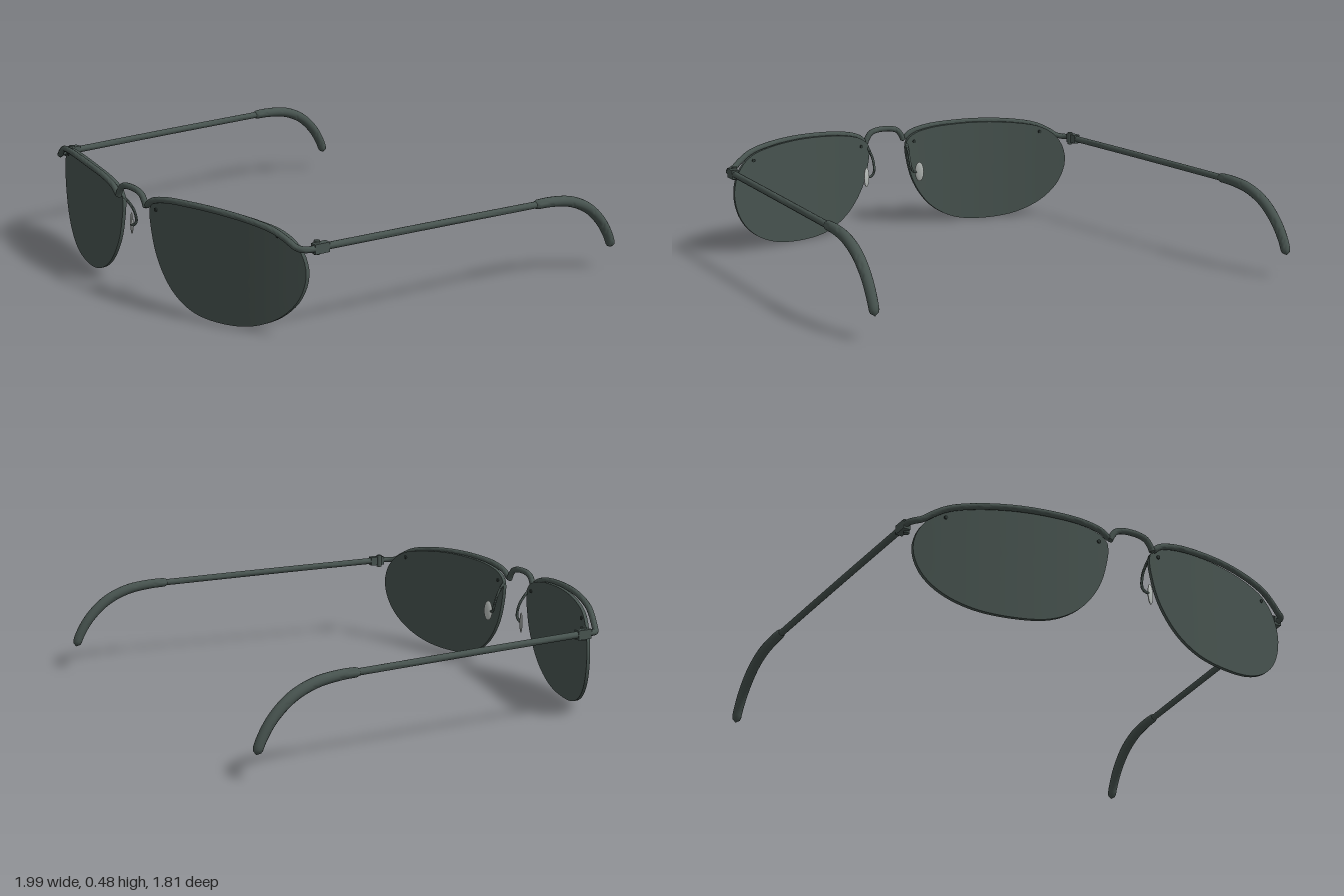
import * as THREE from 'three';
import { toCreasedNormals } from 'three/addons/utils/BufferGeometryUtils.js';
import { ParametricGeometry } from 'three/addons/geometries/ParametricGeometry.js';

const frameMat = new THREE.MeshStandardMaterial({ color: 0x47534f });
frameMat.name = 'frame grey green';
const lensMat = new THREE.MeshStandardMaterial({ color: 0x47534f });
lensMat.name = 'tinted lens';
const padMat = new THREE.MeshStandardMaterial({ color: 0xb8bdba });
padMat.name = 'pale nose pad';
const screwMat = new THREE.MeshStandardMaterial({ color: 0x2c3532 });
screwMat.name = 'dark screw';

// Wrap-around curve shared by the lenses and the brow bar
const lensZ = (x) => 0.873 - 0.265 * x * x;
const barZ = (x) => 0.891 - 0.255 * x * x;

const curve = (pts, s = 1, closed = false) =>
  new THREE.CatmullRomCurve3(pts.map(([x, y, z]) => new THREE.Vector3(x * s, y, z)), closed, 'centripetal');

function add(group, name, geometry, material) {
  const mesh = new THREE.Mesh(geometry, material);
  mesh.name = name;
  group.add(mesh);
  return mesh;
}

// Round tube whose radius follows radius(t); zero at an end closes it
function sweep(path, radius, rings, sides = 12) {
  const geo = new THREE.TubeGeometry(path, rings, 1, sides, false);
  const pos = geo.attributes.position;
  const v = new THREE.Vector3();
  for (let i = 0; i <= rings; i++) {
    const p = path.getPointAt(i / rings);
    for (let j = 0; j <= sides; j++) {
      const k = i * (sides + 1) + j;
      v.fromBufferAttribute(pos, k).sub(p).multiplyScalar(radius(i / rings)).add(p);
      pos.setXYZ(k, v.x, v.y, v.z);
    }
  }
  return toCreasedNormals(geo, 1);
}

// Constant radius with rounded ends
const rounded = (r, cap = 0.03) => (t) => {
  const e = Math.min(t, 1 - t, cap) / cap;
  return r * Math.sqrt(Math.max(0, 1 - (1 - e) ** 2));
};

const outline = curve([
  [0.1, 0.4, 0], [0.14, 0.436, 0], [0.22, 0.458, 0], [0.35, 0.47, 0], [0.5, 0.472, 0],
  [0.65, 0.46, 0], [0.75, 0.44, 0], [0.81, 0.405, 0], [0.85, 0.35, 0], [0.865, 0.27, 0],
  [0.835, 0.17, 0], [0.76, 0.085, 0], [0.64, 0.025, 0], [0.48, 0.004, 0], [0.34, 0.02, 0],
  [0.23, 0.08, 0], [0.15, 0.18, 0], [0.112, 0.28, 0],
], 1, true);

// Curved lens: front face, thin rim and back face in one surface
function lensGeometry(s) {
  const steps = 8;
  const rows = steps * 2 + 1;
  const p = new THREE.Vector3();
  const geo = new ParametricGeometry((u, v, target) => {
    const row = Math.round(v * rows);
    const front = row <= steps;
    const r = (front ? row : rows - row) / steps;
    const w = THREE.MathUtils.clamp(s > 0 ? u : 1 - u, 0, 1);
    outline.getPointAt(w % 1, p);
    const x = 0.48 + (p.x - 0.48) * r;
    target.set(x * s, 0.26 + (p.y - 0.26) * r, lensZ(x) - (front ? 0 : 0.016));
  }, 80, rows);
  return toCreasedNormals(geo, 0.7);
}

function buildSide(s, name) {
  const side = new THREE.Group();
  side.name = name;

  add(side, 'lens', lensGeometry(s), lensMat);

  // Brow bar along the top of the lens, turning back into the hinge
  const brow = [
    [0.1, 0.405], [0.135, 0.437], [0.22, 0.461], [0.35, 0.472], [0.5, 0.474], [0.65, 0.463],
    [0.75, 0.443], [0.81, 0.413], [0.845, 0.39],
  ].map(([x, y]) => [x, y, barZ(x)]);
  brow.push([0.872, 0.384, 0.692], [0.885, 0.384, 0.67], [0.886, 0.384, 0.62]);
  add(side, 'browBar', sweep(curve(brow, s), rounded(0.013, 0.02), 80), frameMat);

  // Screws holding the lens to the bar
  for (const [x, y] of [[0.75, 0.415], [0.14, 0.4]]) {
    const screw = add(side, 'lensScrew', new THREE.CylinderGeometry(0.008, 0.008, 0.026, 10), screwMat);
    screw.rotation.x = Math.PI / 2;
    screw.position.set(x * s, y, lensZ(x) - 0.008);
  }

  // Hinge block with its barrel
  const hinge = new THREE.Group();
  hinge.name = 'hinge';
  hinge.position.set(0.886 * s, 0.383, 0.622);
  hinge.rotation.y = -0.07 * s;
  add(hinge, 'hingeBlock', new THREE.BoxGeometry(0.03, 0.04, 0.066), frameMat);
  const barrel = add(hinge, 'hingeBarrel', new THREE.CylinderGeometry(0.012, 0.012, 0.056, 12), frameMat);
  barrel.position.set(-0.01 * s, 0, 0.01);
  side.add(hinge);

  // Temple arm
  const arm = curve([[0.887, 0.384, 0.61], [0.92, 0.376, 0.1], [0.956, 0.365, -0.48]], s);
  add(side, 'templeArm', sweep(arm, () => 0.0145, 16), frameMat);

  // Thicker ear tip curving down
  const tip = curve([
    [0.954, 0.366, -0.44], [0.958, 0.364, -0.53], [0.964, 0.348, -0.64], [0.969, 0.305, -0.74],
    [0.973, 0.235, -0.82], [0.976, 0.16, -0.87], [0.977, 0.103, -0.893],
  ], s);
  const tipRadius = (t) => rounded(1, 0.05)(t) * (0.02 + 0.003 * Math.sin(Math.PI * t));
  add(side, 'earTip', sweep(tip, tipRadius, 48, 14), frameMat);

  // Nose pad on its bent wire
  const wire = curve([
    [0.104, 0.4, 0.87], [0.1, 0.375, 0.845], [0.095, 0.33, 0.818], [0.1, 0.28, 0.806],
    [0.115, 0.262, 0.81], [0.136, 0.262, 0.808],
  ], s);
  add(side, 'padWire', sweep(wire, rounded(0.006), 30, 8), frameMat);
  const pad = add(side, 'nosePad', new THREE.SphereGeometry(1, 18, 12), padMat);
  pad.scale.set(0.021, 0.046, 0.007);
  pad.position.set(0.14 * s, 0.262, 0.802);
  pad.rotation.y = 0.55 * s;
  return side;
}

export function createModel() {
  const model = new THREE.Group();
  model.name = 'sunglasses';
  model.add(buildSide(1, 'leftSide'), buildSide(-1, 'rightSide'));

  // Arched bridge between the lenses
  const arch = [[0.102, 0.4], [0.092, 0.425], [0.07, 0.453], [0.035, 0.464]];
  const points = [
    ...arch.map(([x, y]) => [-x, y, barZ(x)]),
    [0, 0.466, barZ(0)],
    ...arch.reverse().map(([x, y]) => [x, y, barZ(x)]),
  ];
  add(model, 'bridge', sweep(curve(points), rounded(0.013), 40), frameMat);
  return model;
}
